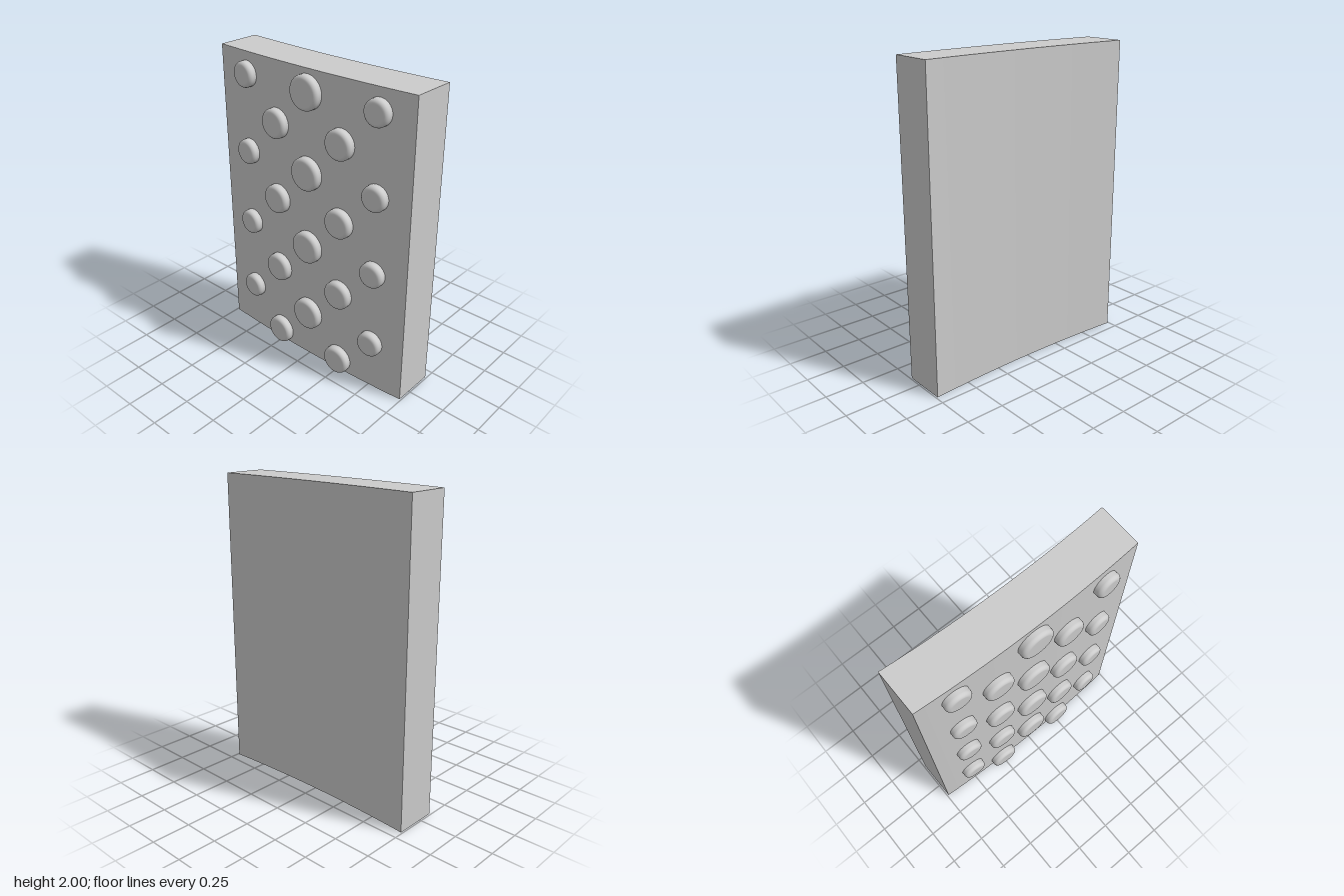
import * as THREE from 'three';
import { toCreasedNormals } from 'three/addons/utils/BufferGeometryUtils.js';

const HALF_WIDTH = 0.74, HEIGHT = 2, RADIUS = 9.6;
const FRONT = 0.127, BACK = -0.157;

// Drop of the gently bowed surface away from the centre line
const sag = (x) => RADIUS - Math.sqrt(RADIUS * RADIUS - x * x);

// Curved slab: bowed strip extruded upwards
function slabGeometry() {
  const n = 24, points = [];
  const xAt = (i) => -HALF_WIDTH + (2 * HALF_WIDTH * i) / n;
  for (let i = 0; i <= n; i++) points.push(new THREE.Vector2(xAt(i), sag(xAt(i)) - FRONT));
  for (let i = n; i >= 0; i--) points.push(new THREE.Vector2(xAt(i), sag(xAt(i)) - BACK));
  const geometry = new THREE.ExtrudeGeometry(new THREE.Shape(points), { depth: HEIGHT, bevelEnabled: false });
  geometry.rotateX(-Math.PI / 2);
  return toCreasedNormals(geometry, Math.PI / 6);
}

// Round stud with a softened rim, standing square to the bowed front
function studGeometry(x, y, radius) {
  const height = 0.052, round = 0.026;
  const profile = [new THREE.Vector2(radius, -0.02)];
  for (let i = 0; i <= 6; i++) {
    const a = (i / 6) * Math.PI / 2;
    profile.push(new THREE.Vector2(radius - round + round * Math.cos(a), height - round + round * Math.sin(a)));
  }
  profile.push(new THREE.Vector2(0, height));
  const geometry = new THREE.LatheGeometry(profile, 40);
  geometry.rotateX(Math.PI / 2);
  geometry.rotateY(Math.asin(x / RADIUS));
  geometry.translate(x, y, FRONT - sag(x));
  // Trim flush with the lower edge of the slab
  const position = geometry.attributes.position;
  for (let i = 0; i < position.count; i++) position.setY(i, Math.max(0, position.getY(i)));
  return geometry;
}

export function createModel() {
  const group = new THREE.Group();
  const material = new THREE.MeshStandardMaterial({ color: 0xcccccc });
  const add = (name, geometry) => {
    const mesh = new THREE.Mesh(geometry, material);
    mesh.name = name;
    group.add(mesh);
  };

  add('curvedSlab', slabGeometry());

  // Staggered stud columns, smaller towards the sides
  const columns = [
    { name: 'outerRightStud', x: -0.505, y: 0.34, radius: 0.082 },
    { name: 'innerRightStud', x: -0.25, y: 0.09, radius: 0.095 },
    { name: 'centreStud', x: 0.003, y: 0.34, radius: 0.107 },
    { name: 'innerLeftStud', x: 0.256, y: 0.09, radius: 0.095 },
    { name: 'outerLeftStud', x: 0.51, y: 0.34, radius: 0.082 },
  ];
  for (const { name, x, y, radius } of columns) {
    for (let row = 0; row < 4; row++) add(name + (row + 1), studGeometry(x, y + row * 0.507, radius));
  }
  return group;
}
